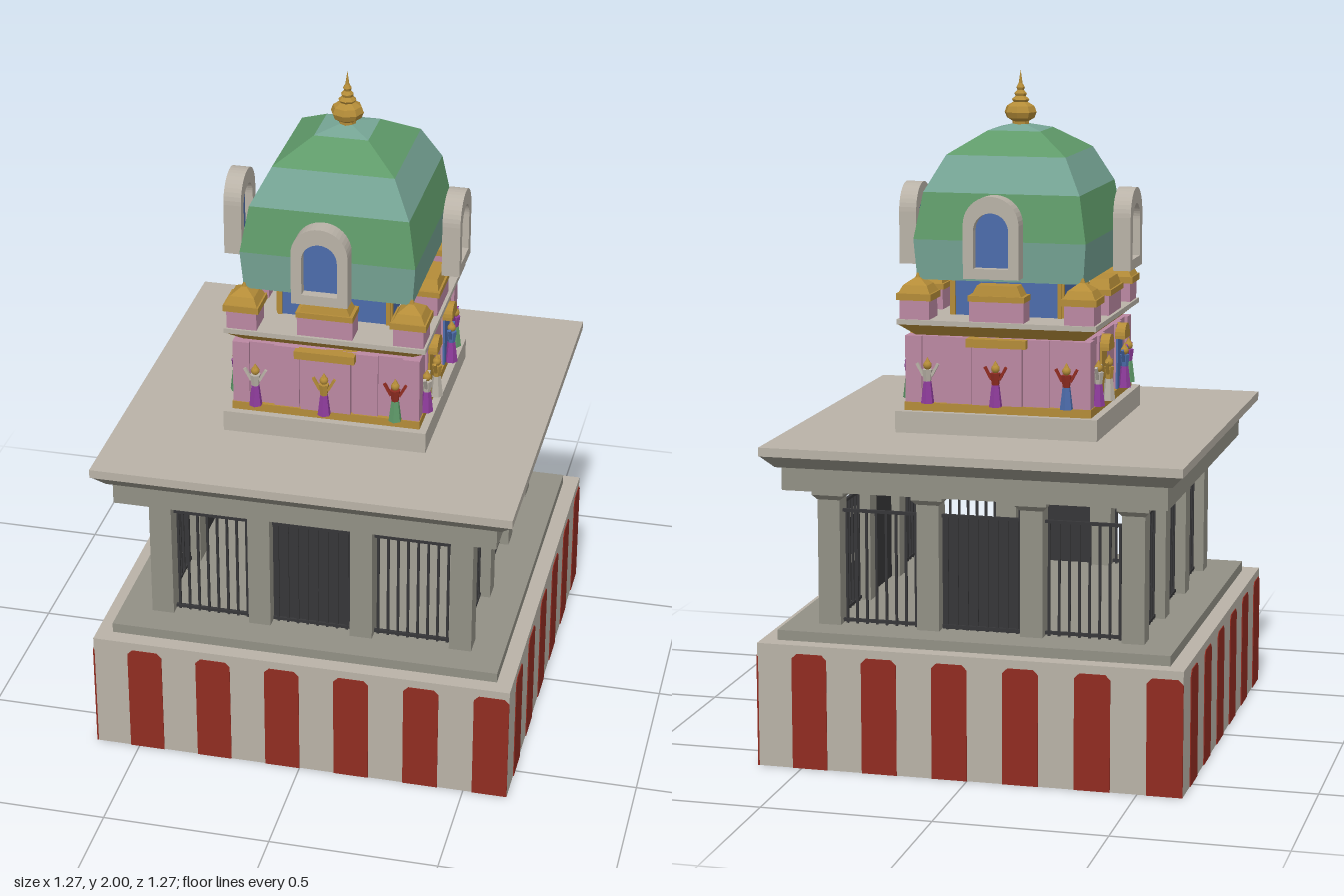
import * as THREE from 'three';

const mat = (name, color) => Object.assign(new THREE.MeshStandardMaterial({ color }), { name });

export function createModel() {
  const stone = mat('pale stone', 0xb9b2a7), grey = mat('grey stone', 0x929085);
  const red = mat('red paint', 0x902c21), green = mat('green', 0x5f9a69), teal = mat('teal', 0x76a595);
  const pink = mat('pink', 0xbb88a2), gold = mat('gold', 0xb48c38), blue = mat('blue', 0x4c6cab);
  const iron = mat('iron', 0x363638), purple = mat('purple', 0x8f3c9c);
  stone.side = red.side = blue.side = THREE.DoubleSide;

  const model = new THREE.Group();
  model.name = 'temple';

  const flat = (g) => {
    const f = g.index ? g.toNonIndexed() : g;
    f.computeVertexNormals();
    return f;
  };
  const add = (parent, name, geo, material, x = 0, y = 0, z = 0) => {
    const m = new THREE.Mesh(geo, material);
    m.name = name;
    m.position.set(x, y, z);
    parent.add(m);
    return m;
  };
  // box given by width, depth and bottom/top heights
  const box = (p, name, m, w, d, y0, y1, x = 0, z = 0) =>
    add(p, name, new THREE.BoxGeometry(w, y1 - y0, d), m, x, (y0 + y1) / 2, z);
  // square frustum given by half widths at bottom and top
  const frustum = (p, name, m, r0, r1, y0, y1, x = 0, z = 0, open = false) => {
    const g = new THREE.CylinderGeometry(r1 * Math.SQRT2, r0 * Math.SQRT2, y1 - y0, 4, 1, open);
    g.rotateY(Math.PI / 4);
    return add(p, name, flat(g), m, x, (y0 + y1) / 2, z);
  };
  // build something once for each of the four sides
  const eachSide = (name, build) => {
    for (let i = 0; i < 4; i++) {
      const g = new THREE.Group();
      g.name = name + (i + 1);
      g.rotation.y = (i * Math.PI) / 2;
      build(g, i);
      model.add(g);
    }
  };

  // hollow striped base, open underneath
  const B = 0.632, step = (2 * B) / 12;
  const top = add(model, 'baseTop', new THREE.PlaneGeometry(2 * B, 2 * B), stone, 0, 0.37, 0);
  top.rotation.x = -Math.PI / 2;
  const stripe = new THREE.Shape([[0, 0], [step, 0], [step, 0.33], [step - 0.015, 0.345], [0.015, 0.345], [0, 0.33]]
    .map(([x, y]) => new THREE.Vector2(x, y)));
  const stripeGeo = new THREE.ExtrudeGeometry(stripe, { depth: 0.005, bevelEnabled: false });
  eachSide('baseWall', (g) => {
    add(g, 'wall', new THREE.PlaneGeometry(2 * B, 0.37), stone, 0, 0.185, B);
    for (let k = 0; k < 6; k++) add(g, 'stripe', stripeGeo, red, -B + (2 * k + 1) * step, 0, B - 0.0025);
  });
  box(model, 'plinth', grey, 1.17, 1.17, 0.37, 0.4);

  // colonnade with railings and gates
  eachSide('colonnade', (g) => {
    for (const x of [-0.455, -0.155, 0.155]) {
      box(g, 'column', grey, 0.067, 0.067, 0.4, 0.79, x, 0.455);
      frustum(g, 'capitalFlare', grey, 0.034, 0.047, 0.775, 0.79, x, 0.455);
      box(g, 'capital', grey, 0.094, 0.094, 0.79, 0.818, x, 0.455);
    }
    for (const x of [-0.305, 0, 0.305]) {
      for (const y of [0.405, 0.735]) box(g, 'rail', iron, 0.24, 0.01, y, y + 0.009, x, 0.455);
      for (let k = 0; k < 8; k++) box(g, 'bar', iron, 0.007, 0.007, 0.4, 0.74, x + (k - 3.5) * 0.03, 0.455);
    }
    box(g, 'gatePanel', iron, 0.24, 0.005, 0.4, 0.742, 0, 0.45);
  });

  // roof
  box(model, 'beam', grey, 1.14, 1.14, 0.815, 0.885);
  frustum(model, 'eave', grey, 0.585, 0.62, 0.885, 0.922);
  box(model, 'roofSlab', stone, 1.245, 1.245, 0.922, 0.948);
  box(model, 'towerPlinth', stone, 0.61, 0.61, 0.948, 1.012);

  // tower storey
  box(model, 'towerBand', gold, 0.565, 0.565, 1.012, 1.037);
  box(model, 'towerWall', pink, 0.54, 0.54, 1.037, 1.235);
  frustum(model, 'cornice', gold, 0.255, 0.297, 1.235, 1.27);
  box(model, 'corniceSlab', stone, 0.6, 0.6, 1.27, 1.285);

  // small figures with raised arms
  const skirtGeo = flat(new THREE.CylinderGeometry(0.012, 0.02, 0.065, 6));
  const chestGeo = flat(new THREE.CylinderGeometry(0.016, 0.011, 0.036, 6));
  const headGeo = new THREE.IcosahedronGeometry(0.013, 1);
  const crownGeo = flat(new THREE.ConeGeometry(0.009, 0.016, 6));
  const armGeo = new THREE.BoxGeometry(0.008, 0.042, 0.008);
  const figure = (p, x, z, skirt, chest) => {
    const f = new THREE.Group();
    f.name = 'figure';
    f.position.set(x, 1.037, z);
    add(f, 'skirt', skirtGeo, skirt, 0, 0.033, 0);
    add(f, 'chest', chestGeo, chest, 0, 0.083, 0);
    add(f, 'head', headGeo, gold, 0, 0.113, 0);
    add(f, 'crown', crownGeo, gold, 0, 0.13, 0);
    for (const s of [-1, 1]) add(f, 'arm', armGeo, chest, s * 0.022, 0.1, 0).rotation.z = -s * 0.5;
    p.add(f);
  };
  const nicheShape = new THREE.Shape();
  nicheShape.moveTo(-0.036, 1.19).lineTo(0.036, 1.19).lineTo(0.036, 1.2);
  nicheShape.absarc(0, 1.2, 0.036, 0, Math.PI, false);
  const nicheGeo = new THREE.ExtrudeGeometry(nicheShape, { depth: 0.03, bevelEnabled: false, curveSegments: 5 });

  eachSide('towerSide', (g, i) => {
    for (const s of [-1, 1]) {
      box(g, 'cornerPilaster', pink, 0.05, 0.02, 1.037, 1.235, s * 0.255, 0.27);
      box(g, 'pilaster', pink, 0.075, 0.015, 1.037, 1.235, s * 0.118, 0.27);
    }
    if (i % 2 === 0) {
      box(g, 'centreBay', pink, 0.15, 0.03, 1.037, 1.21, 0, 0.27);
      box(g, 'centreLintel', gold, 0.18, 0.05, 1.21, 1.235, 0, 0.275);
      figure(g, -0.21, 0.288, purple, stone);
      figure(g, 0, 0.3, purple, i ? red : gold);
      figure(g, 0.21, 0.288, i ? blue : green, red);
    } else {
      for (const s of [-1, 1]) {
        add(g, 'nicheArch', nicheGeo, gold, s * 0.11, 0, 0.275);
        box(g, 'nicheBack', s > 0 ? blue : gold, 0.066, 0.006, 1.037, 1.19, s * 0.11, 0.28);
      }
      figure(g, -0.21, 0.288, purple, stone);
      figure(g, -0.11, 0.297, stone, gold);
      figure(g, 0.11, 0.297, purple, blue);
      figure(g, 0.21, 0.288, green, purple);
    }
    // parapet block and corner kiosk
    box(g, 'parapetBlock', pink, 0.165, 0.07, 1.285, 1.345, 0, 0.255);
    box(g, 'parapetCap', gold, 0.17, 0.08, 1.345, 1.362, 0, 0.257);
    const cap = frustum(g, 'parapetRoof', gold, 0.075, 0.06, 1.362, 1.392, 0, 0.257);
    cap.scale.z = 0.45;
    box(g, 'kiosk', pink, 0.09, 0.09, 1.285, 1.342, 0.248, 0.248);
    box(g, 'kioskEave', gold, 0.106, 0.106, 1.342, 1.362, 0.248, 0.248);
    frustum(g, 'kioskRoof', gold, 0.048, 0.036, 1.362, 1.385, 0.248, 0.248);
    frustum(g, 'kioskRoofTop', gold, 0.036, 0.008, 1.385, 1.405, 0.248, 0.248);
    add(g, 'kioskFinial', flat(new THREE.ConeGeometry(0.009, 0.03, 6)), gold, 0.248, 1.417, 0.248);
    for (const s of [-1, 1]) box(g, 'neckPost', gold, 0.012, 0.012, 1.285, 1.4, s * 0.162, 0.168);
  });

  // neck and four-sided dome in alternating bands
  box(model, 'neck', blue, 0.335, 0.335, 1.285, 1.402);
  const dome = [[0.25, 1.4], [0.259, 1.518], [0.235, 1.655], [0.18, 1.76], [0.08, 1.825], [0.002, 1.845]];
  for (let k = 0; k < 5; k++)
    frustum(model, 'domeBand', k % 2 ? green : teal, dome[k][0], dome[k + 1][0], dome[k][1], dome[k + 1][1], 0, 0, true);
  box(model, 'domeUnderside', teal, 0.498, 0.498, 1.399, 1.402);

  // arched windows standing before the dome
  const arch = (path, w, y0, y1) => {
    path.moveTo(-w, y0).lineTo(w, y0).lineTo(w, y1);
    path.absarc(0, y1, w, 0, Math.PI, false);
    path.closePath();
    return path;
  };
  const frame = arch(new THREE.Shape(), 0.083, 1.42, 1.577);
  frame.holes.push(arch(new THREE.Path(), 0.052, 1.45, 1.56));
  const frameGeo = new THREE.ExtrudeGeometry(frame, { depth: 0.053, bevelEnabled: false, curveSegments: 10 });
  const paneGeo = new THREE.ShapeGeometry(arch(new THREE.Shape(), 0.053, 1.45, 1.56), 10);
  eachSide('domeWindow', (g) => {
    add(g, 'windowFrame', frameGeo, stone, 0, 0, 0.301);
    add(g, 'windowPane', paneGeo, blue, 0, 0, 0.325);
  });

  // finial
  const profile = [[0, 1.835], [0.025, 1.838], [0.025, 1.848], [0.042, 1.858], [0.049, 1.875], [0.042, 1.893], [0.022, 1.905],
    [0.027, 1.912], [0.016, 1.922], [0.019, 1.93], [0.01, 1.94], [0.013, 1.948], [0.006, 1.96], [0, 2]];
  add(model, 'finial', flat(new THREE.LatheGeometry(profile.map(([r, y]) => new THREE.Vector2(r, y)), 8)), gold);

  return model;
}
